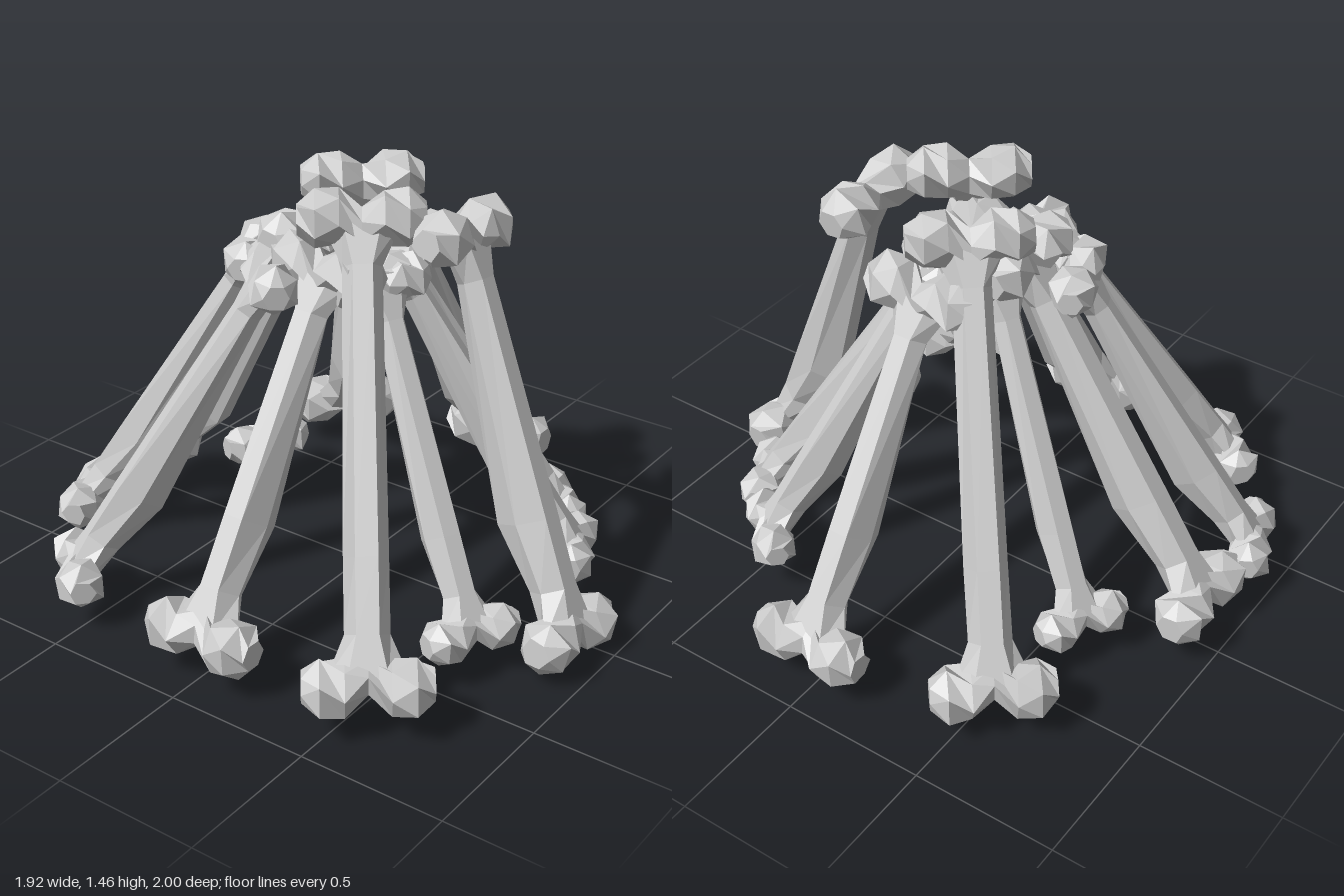
import * as THREE from 'three';

const material = new THREE.MeshStandardMaterial({ color: 0xcccccc, flatShading: true });

// foot x, y, z, top x, y, z, thickness, roll
const BONES = [
  [-0.11, 0.13, 0.89, 0.03, 1.32, 0.37, 1, 0.25],
  [0.28, 0.18, 0.68, 0.03, 1.16, 0.12, 0.8, 0],
  [0.51, 0.19, 0.48, 0.08, 1.16, 0.10, 0.8, 0],
  [0.86, 0.18, 0.02, 0.22, 1.18, 0.02, 1, 0],
  [0.70, 0.19, -0.58, 0.13, 1.37, -0.09, 1, 0],
  [0.27, 0.18, -0.63, 0.03, 1.17, -0.13, 0.8, 0],
  [-0.05, 0.18, -0.89, -0.05, 1.24, -0.18, 1, 0],
  [-0.40, 0.18, -0.89, -0.16, 1.16, -0.31, 0.84, 0],
  [-0.79, 0.18, -0.58, -0.31, 1.16, -0.14, 0.86, 0],
  [-0.87, 0.19, 0.02, -0.22, 1.20, 0.02, 1, 0],
  [-0.80, 0.20, 0.60, -0.18, 1.38, 0.13, 1, 0],
  [-0.36, 0.18, 0.68, -0.12, 1.15, 0.16, 0.82, 0],
];

// Skin six-point rings into a closed solid
function loft(rings) {
  const index = [];
  const last = (rings.length - 1) * 6;
  for (let r = 0; r < last; r += 6) {
    for (let j = 0; j < 6; j++) {
      const a = r + j, b = r + (j + 1) % 6;
      index.push(a, b, b + 6, a, b + 6, a + 6);
    }
  }
  for (let j = 1; j < 5; j++) index.push(0, j + 1, j, last, last + j, last + j + 1);
  const geometry = new THREE.BufferGeometry();
  geometry.setAttribute('position', new THREE.Float32BufferAttribute(rings.flat(2), 3));
  geometry.setIndex(index);
  const flat = geometry.toNonIndexed();
  flat.computeVertexNormals();
  return flat;
}

// Shaft along y, flared at both ends and deeper on its inner side near the foot
function shaftGeometry(length, s) {
  // height, half width, outer depth, inner depth
  const stations = [
    [0.02 * s, 0.125 * s, 0.05 * s, 0.06 * s],
    [0.15 * s, 0.07 * s, 0.05 * s, 0.085 * s],
    [0.38 * s, 0.07 * s, 0.05 * s, 0.14 * s],
    [length - 0.15 * s, 0.062 * s, 0.045 * s, 0.055 * s],
    [length - 0.02 * s, 0.12 * s, 0.05 * s, 0.05 * s],
  ];
  return loft(stations.map(([y, w, out, inn]) => {
    const mid = (out - inn) / 2;
    return [[w, y, mid], [w / 2, y, -inn], [-w / 2, y, -inn], [-w, y, mid], [-w / 2, y, out], [w / 2, y, out]];
  }));
}

// Double knob across the end of a bone, with a notch in the middle
function headGeometry(s, seed) {
  // position across, radius, offset away from the shaft
  const stations = [
    [-0.2, 0.05, 0], [-0.145, 0.095, 0.005], [-0.07, 0.088, 0.005],
    [0, 0.062, -0.025],
    [0.07, 0.088, 0.005], [0.145, 0.095, 0.005], [0.2, 0.05, 0],
  ];
  return loft(stations.map(([x, radius, shift], k) => {
    const ring = [];
    for (let j = 0; j < 6; j++) {
      const a = (j / 3 + (k % 2) / 6) * Math.PI;
      const r = radius * (1 + 0.07 * Math.sin(seed * 2.3 + k * 1.7 + j * 2.9));
      ring.push([x * s, (shift + r * Math.cos(a)) * s, r * Math.sin(a) * s]);
    }
    return ring;
  }));
}

// One leaning bone: shaft plus a double knob at each end
function makeBone([fx, fy, fz, tx, ty, tz, s, roll], number) {
  const bone = new THREE.Group();
  bone.name = `bone${number + 1}`;
  const foot = new THREE.Vector3(fx, fy, fz);
  const axis = new THREE.Vector3(tx, ty, tz).sub(foot);
  const length = axis.length();
  axis.normalize();
  const side = axis.clone().cross(new THREE.Vector3(0, 1, 0)).normalize();
  const outward = side.clone().cross(axis);

  const shaft = new THREE.Mesh(shaftGeometry(length, s), material);
  shaft.name = 'shaft';
  const topHead = new THREE.Mesh(headGeometry(s, number), material);
  topHead.name = 'topHead';
  topHead.position.y = length;
  const footHead = new THREE.Mesh(headGeometry(s, number + 20), material);
  footHead.name = 'footHead';
  footHead.rotation.z = Math.PI;
  bone.add(shaft, topHead, footHead);

  bone.quaternion.setFromRotationMatrix(new THREE.Matrix4().makeBasis(side, axis, outward));
  bone.rotateY(roll);
  bone.position.copy(foot);
  return bone;
}

export function createModel() {
  const model = new THREE.Group();
  model.name = 'bonePile';
  BONES.forEach((spec, i) => model.add(makeBone(spec, i)));

  // Rest the lowest knob on the ground
  model.updateMatrixWorld(true);
  const low = new THREE.Box3().setFromObject(model, true).min.y;
  for (const bone of model.children) bone.position.y -= low;
  return model;
}
